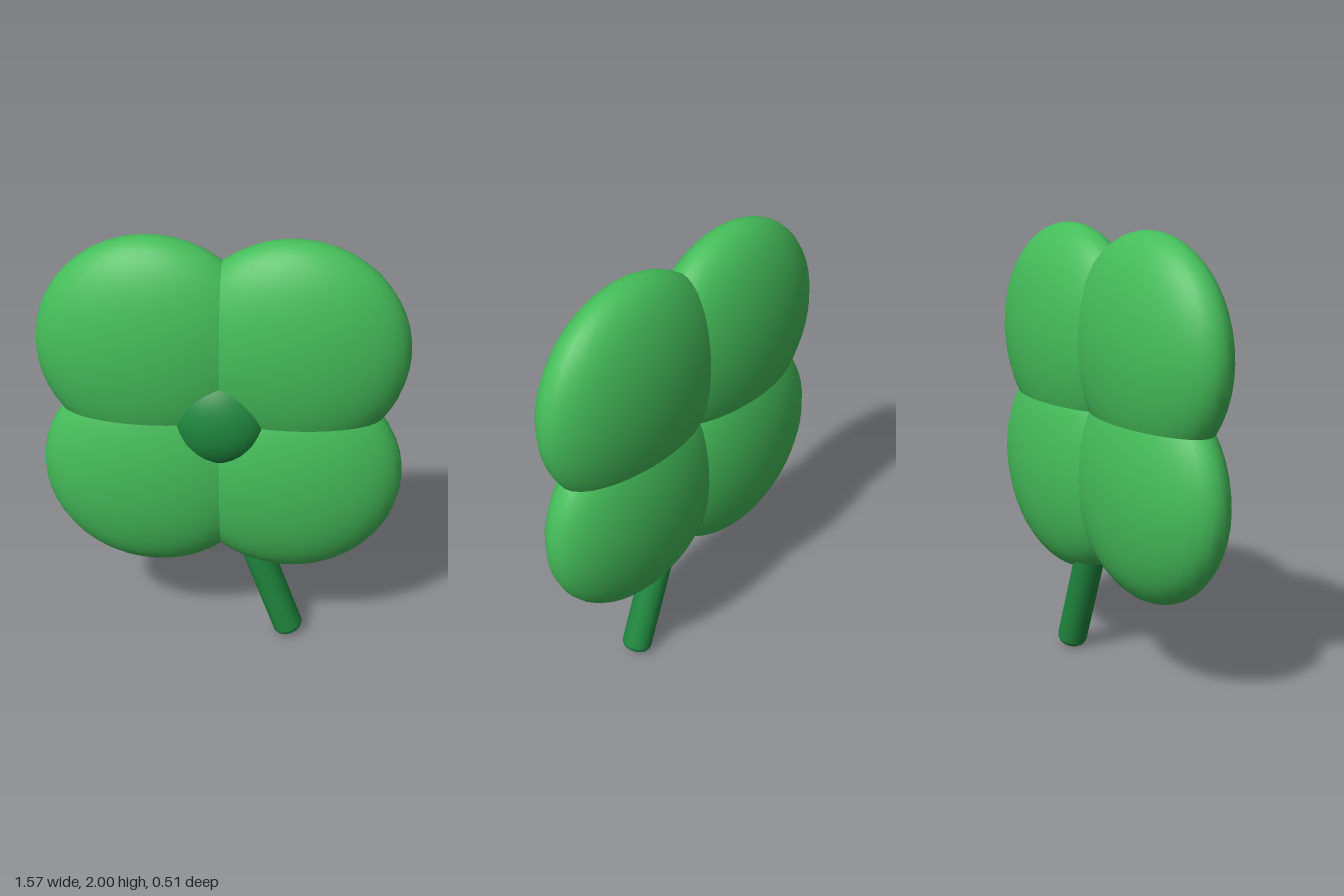
import * as THREE from 'three';

export function createModel() {
  const leafGreen = new THREE.MeshStandardMaterial({ name: 'leafGreen', color: 0x45bd5a });
  const stemGreen = new THREE.MeshStandardMaterial({ name: 'stemGreen', color: 0x20883f });

  const model = new THREE.Group();
  model.name = 'clover';

  // The whole clover is turned slightly about its vertical axis
  const clover = new THREE.Group();
  clover.name = 'turnedClover';
  clover.rotation.y = THREE.MathUtils.degToRad(8);
  model.add(clover);

  const add = (name, geometry, material, x, y, z) => {
    const mesh = new THREE.Mesh(geometry, material);
    mesh.name = name;
    mesh.position.set(x, y, z);
    clover.add(mesh);
    return mesh;
  };

  // Four plump, flattened leaves
  const centreY = 1.207;
  const leaf = new THREE.SphereGeometry(1, 32, 24).scale(0.495, 0.495, 0.205);
  for (const [sideName, sx] of [['Left', 1], ['Right', -1]]) {
    for (const [level, sy] of [['upper', 1], ['lower', -1]]) {
      add(`${level}${sideName}Leaf`, leaf, leafGreen, sx * 0.3, centreY + sy * 0.298, 0);
    }
  }

  // Flattened button where the leaves meet, on the front only
  const button = new THREE.SphereGeometry(1, 32, 24).scale(0.214, 0.214, 0.138);
  add('centreButton', button, stemGreen, 0, centreY, 0.08);

  // Stem with softly rounded ends, leaning outward toward its foot
  const r = 0.07, bevel = 0.035, length = 0.7;
  const profile = [new THREE.Vector2(0, 0)];
  for (let i = 0; i <= 4; i++) {
    const a = (i / 4) * Math.PI / 2;
    profile.push(new THREE.Vector2(r - bevel + bevel * Math.sin(a), bevel - bevel * Math.cos(a)));
  }
  for (let i = 0; i <= 4; i++) {
    const a = (i / 4) * Math.PI / 2;
    profile.push(new THREE.Vector2(r - bevel + bevel * Math.cos(a), length - bevel + bevel * Math.sin(a)));
  }
  profile.push(new THREE.Vector2(0, length));
  const stem = add('stem', new THREE.LatheGeometry(profile, 16), stemGreen, 0.325, 0.015, 0);
  stem.rotation.z = THREE.MathUtils.degToRad(19.5);

  return model;
}
